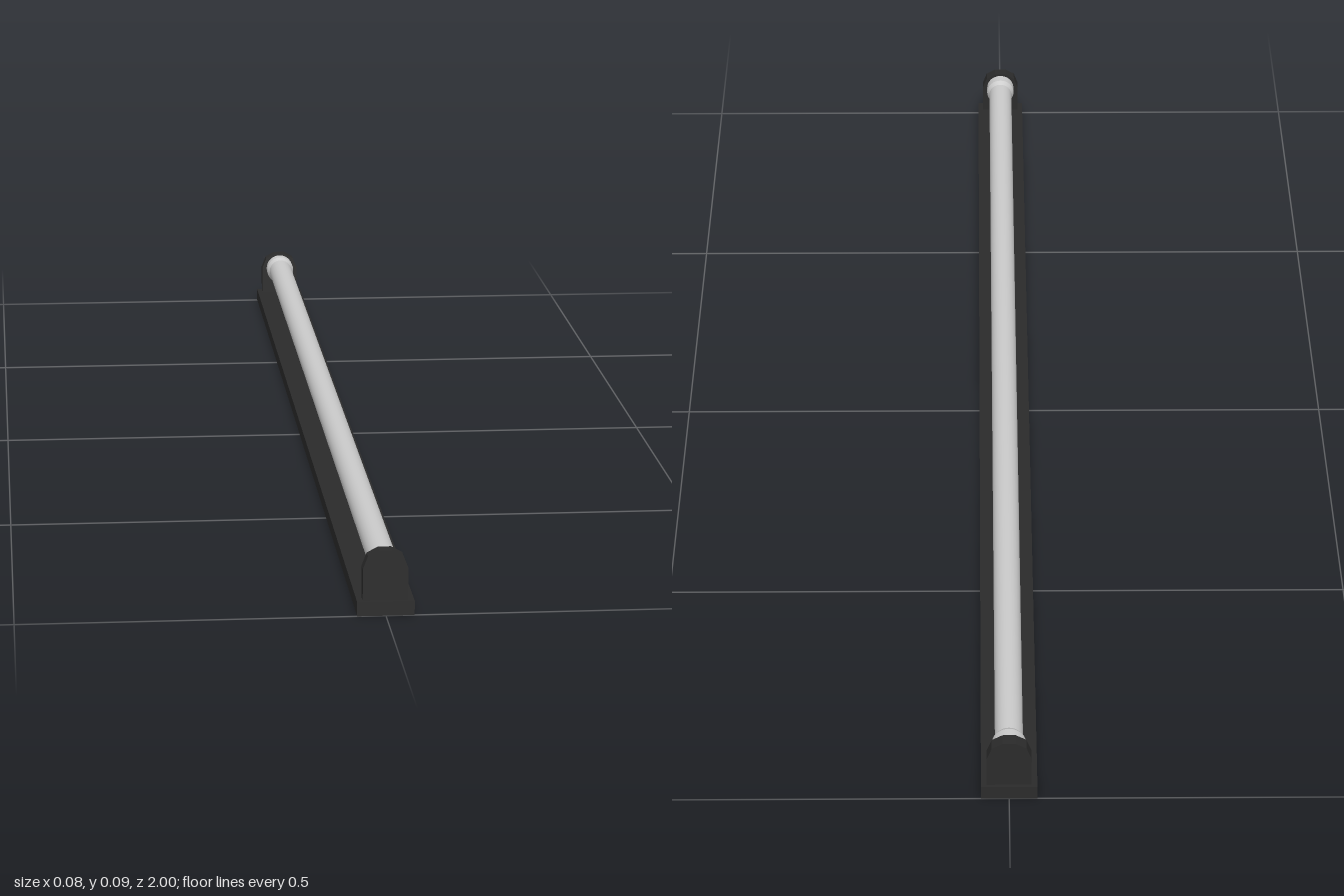
import * as THREE from 'three';

export function createModel() {
  const group = new THREE.Group();
  const black = new THREE.MeshStandardMaterial({ color: 0x2b2b2b });
  const grey = new THREE.MeshStandardMaterial({ color: 0xcccccc });
  const axisY = 0.064;

  const add = (name, geometry, material) => {
    const mesh = new THREE.Mesh(geometry, material);
    mesh.name = name;
    group.add(mesh);
    return mesh;
  };

  // Long flat mounting rail
  add('baseRail', new THREE.BoxGeometry(0.078, 0.02, 2), black).position.y = 0.01;

  // Lamp tube
  const tube = new THREE.CylinderGeometry(0.0195, 0.0195, 1.92, 24, 1, true);
  add('lampTube', tube.rotateX(Math.PI / 2), grey).position.y = axisY;

  // Arched outline shared by both end holders
  const half = [[0.031, 0.018], [0.031, 0.064], [0.024, 0.082], [0.009, 0.09]];
  const outline = [...half, ...half.map(([x, y]) => [-x, y]).reverse()];
  const arch = new THREE.Shape(outline.map(([x, y]) => new THREE.Vector2(x, y)));

  // Collar profile: wide sleeve with a short taper down to the tube
  const collarProfile = [
    [0.0235, 0], [0.0235, 0.019], [0.0235, 0.019], [0.0195, 0.027],
  ].map(([r, y]) => new THREE.Vector2(r, y));

  for (const side of [1, -1]) {
    const end = side > 0 ? 'front' : 'back';
    const holder = new THREE.ExtrudeGeometry(arch, { depth: 0.02, bevelEnabled: false });
    add(end + 'Holder', holder.translate(0, 0, -0.01), black).position.z = side * 0.985;

    const collar = add(end + 'Collar', new THREE.LatheGeometry(collarProfile, 24), grey);
    collar.rotation.x = -side * Math.PI / 2;
    collar.position.set(0, axisY, side * 0.976);
  }
  return group;
}
